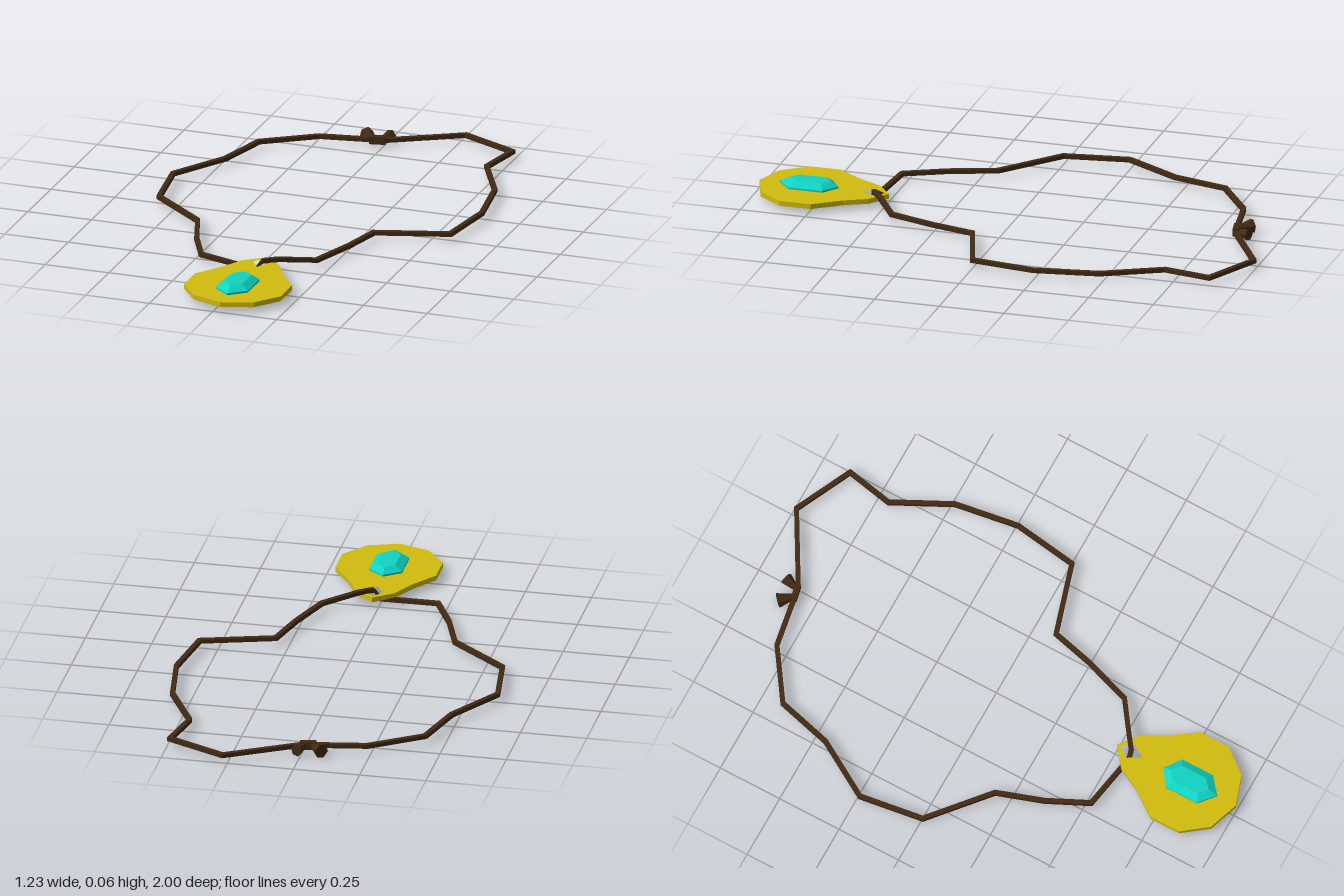
import * as THREE from 'three';
import { ConvexGeometry } from 'three/addons/geometries/ConvexGeometry.js';

const material = (name, color) => {
  const m = new THREE.MeshStandardMaterial({ color });
  m.name = name;
  return m;
};

// Faceted normals for a hard-edged geometry
function faceted(geometry) {
  const g = geometry.index ? geometry.toNonIndexed() : geometry;
  g.computeVertexNormals();
  return g;
}

// Closed cord: a rectangular section mitred at every bend
function cordGeometry(path, halfWidth, halfHeight) {
  const n = path.length, pos = [], index = [];
  const flat = (a, b) => new THREE.Vector2(b.x - a.x, b.z - a.z).normalize();
  path.forEach((p, i) => {
    const t0 = flat(path[(i + n - 1) % n], p);
    const t1 = flat(p, path[(i + 1) % n]);
    const t = t0.clone().add(t1).normalize();
    const w = halfWidth / Math.max(0.5, t.dot(t1));
    for (const [s, u] of [[1, -1], [1, 1], [-1, 1], [-1, -1]]) {
      pos.push(p.x - t.y * w * s, p.y + halfHeight * u, p.z + t.x * w * s);
    }
    const a = i * 4, b = ((i + 1) % n) * 4;
    for (let k = 0; k < 4; k++) {
      const l = (k + 1) % 4;
      index.push(a + k, b + k, b + l, a + k, b + l, a + l);
    }
  });
  const g = new THREE.BufferGeometry();
  g.setAttribute('position', new THREE.Float32BufferAttribute(pos, 3));
  g.setIndex(index);
  return faceted(g);
}

export function createModel() {
  const brown = material('brown cord', 0x422a14);
  const gold = material('gold', 0xd2bc0e);
  const teal = material('teal gem', 0x10d4c4);
  const model = new THREE.Group();
  model.name = 'necklace';
  const add = (name, geometry, mat) => {
    const mesh = new THREE.Mesh(geometry, mat);
    mesh.name = name;
    model.add(mesh);
    return mesh;
  };

  // Cord, threaded up through the pendant's eye
  const Y = 0.026;
  const path = [
    [0.005, 0.556, 0.009], [0.03, 0.552, 0.044], [0.08, 0.515, 0.044],
    [0.2, 0.43], [0.26, 0.25], [0.3, 0.087], [0.57, 0.005], [0.605, -0.24],
    [0.567, -0.485], [0.455, -0.705], [0.49, -0.885], [0.27, -0.99],
    [0.01, -0.84], [-0.06, -0.825], [-0.235, -0.795], [-0.425, -0.665],
    [-0.48, -0.455], [-0.608, -0.24], [-0.573, 0.005], [-0.355, 0.19],
    [-0.295, 0.365], [-0.22, 0.52],
  ].map(([x, z, y = Y]) => new THREE.Vector3(x, y, z));
  add('cord', cordGeometry(path, 0.009, 0.008), brown);

  // Knot: two flared cord ends
  const flare = (name, from, to, radius) => {
    const a = new THREE.Vector3(from[0], Y, from[1]);
    const b = new THREE.Vector3(to[0], Y, to[1]);
    const dir = b.clone().sub(a);
    const g = faceted(new THREE.CylinderGeometry(radius, 0.008, dir.length(), 6));
    const mesh = add(name, g, brown);
    mesh.quaternion.setFromUnitVectors(new THREE.Vector3(0, 1, 0), dir.normalize());
    mesh.position.copy(a).add(b).multiplyScalar(0.5);
    mesh.scale.set(1, 1, 1);
  };
  flare('knotEndRight', [-0.03, -0.825], [-0.08, -0.877], 0.028);
  flare('knotEndLeft', [-0.008, -0.835], [0.012, -0.892], 0.024);
  const knot = add('knot', new THREE.BoxGeometry(0.06, 0.03, 0.022), brown);
  knot.position.set(-0.02, Y, -0.833);
  knot.rotation.y = 0.2;

  // Pendant plate with an eye near its tip
  const CX = 0.025;
  const half = [[0.074, 0.553], [0.117, 0.638], [0.19, 0.74], [0.19, 0.86], [0.117, 0.955]];
  const outline = [
    [0, 0.495], ...half, [0, 0.995],
    ...half.map(([x, z]) => [-x, z]).reverse(),
  ].map(([x, z]) => new THREE.Vector2(x + CX, -z));
  const plate = new THREE.Shape(outline);
  plate.holes.push(new THREE.Path(
    [[0, 0.51], [0.03, 0.55], [0, 0.6], [-0.03, 0.55]]
      .map(([x, z]) => new THREE.Vector2(x + CX, -z))));
  const plateGeometry = new THREE.ExtrudeGeometry(plate, { depth: 0.019, bevelEnabled: false });
  plateGeometry.rotateX(-Math.PI / 2).translate(0, 0.018, 0);
  add('pendant', plateGeometry, gold);

  // Cut gem: long hexagon tapering to a smaller flat top
  const hexagon = (y, w, z0, z1, z2, z3) =>
    [[0, z0], [w, z1], [w, z2], [0, z3], [-w, z2], [-w, z1]]
      .map(([x, z]) => new THREE.Vector3(x + CX, y, z));
  add('gem', new ConvexGeometry([
    ...hexagon(0.03, 0.062, 0.69, 0.735, 0.865, 0.917),
    ...hexagon(0.044, 0.062, 0.69, 0.735, 0.865, 0.917),
    ...hexagon(0.062, 0.034, 0.72, 0.748, 0.85, 0.88),
  ]), teal);

  return model;
}
